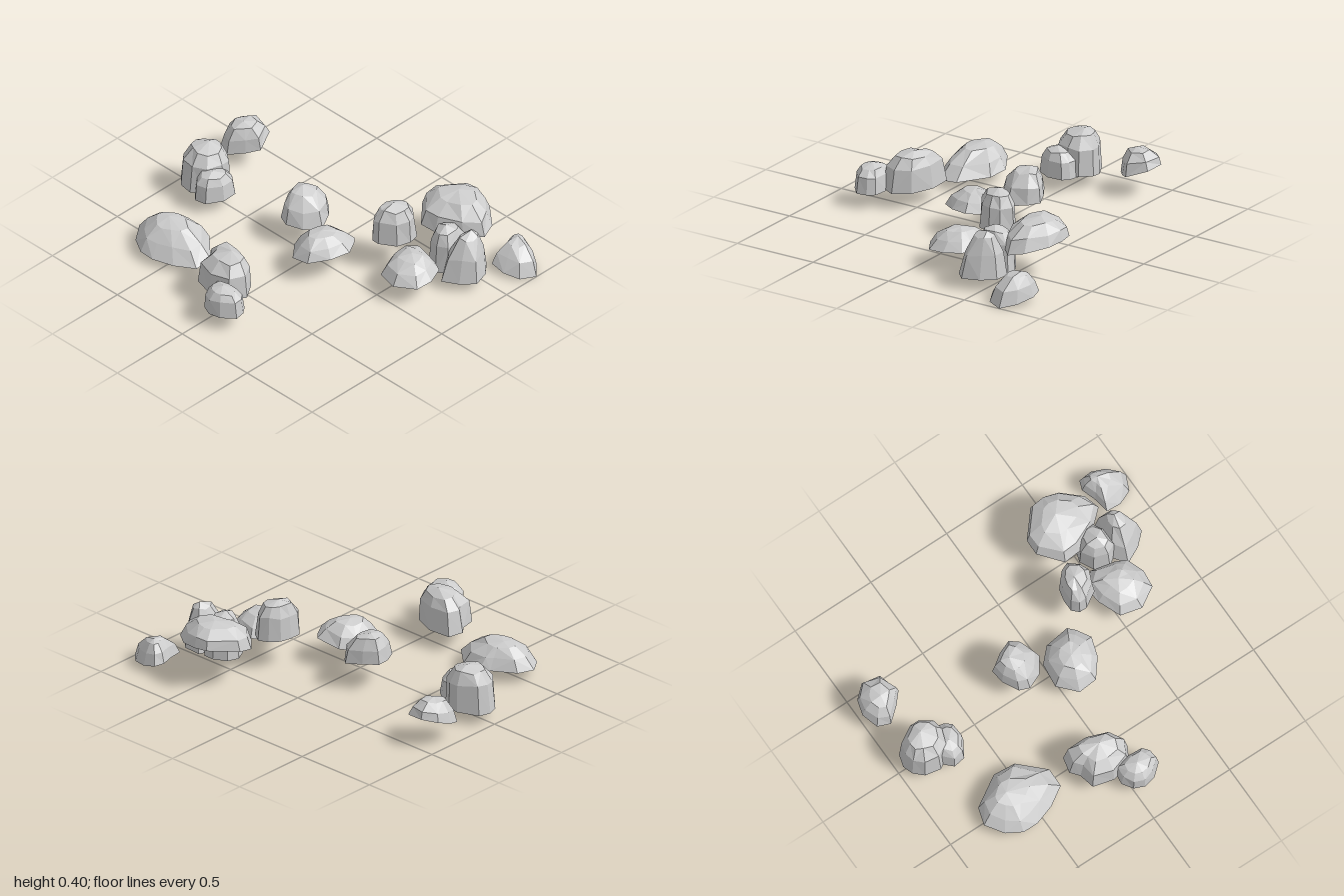
import * as THREE from 'three';

const stone = new THREE.MeshStandardMaterial({ color: 0xcccccc, flatShading: true, side: THREE.DoubleSide });
stone.name = 'grey stone';

// Ring profiles from base to shoulder: [height fraction, outline scale]
const TALL = [[0, 1], [0.62, 0.9], [0.88, 0.6]];
const LOW = [[0, 1], [0.5, 0.87], [0.87, 0.52]];
const SLOPED = [[0, 1], [0.5, 0.77], [0.88, 0.42]];

function seeded(seed) {
  let s = seed * 7919 + 17;
  return () => {
    s = (s * 16807) % 2147483647;
    return s / 2147483647 - 0.5;
  };
}

// Open-bottomed boulder: ground outline [x, z, ...], apex [x, y, z],
// base plane [height at the middle, slope in x, slope in z]
function boulder(seed, profile, outline, apex, [baseY, sx, sz]) {
  const rnd = seeded(seed);
  const n = outline.length / 2;
  const points = [];
  for (let i = 0; i < n; i++) points.push([outline[2 * i], outline[2 * i + 1]]);
  const cx = points.reduce((sum, p) => sum + p[0], 0) / n;
  const cz = points.reduce((sum, p) => sum + p[1], 0) / n;
  const [ax, ay, az] = apex;

  const pos = [];
  profile.forEach(([t, scale], ring) => {
    for (const [x, z] of points) {
      const s = ring ? scale + rnd() * 0.1 : 1;
      const h = ring ? t + rnd() * 0.07 : 0;
      const y = baseY + sx * (x - cx) + sz * (z - cz);
      pos.push(ax + (x - ax) * s, y + (ay - y) * h, az + (z - az) * s);
    }
  });
  pos.push(ax, ay, az);

  const index = [];
  const last = profile.length - 1;
  for (let i = 0; i < n; i++) {
    const j = (i + 1) % n;
    for (let r = 0; r < last; r++) {
      const a = r * n + i, b = r * n + j, c = a + n, d = b + n;
      if ((i + r) % 2) index.push(a, c, b, b, c, d);
      else index.push(a, c, d, a, d, b);
    }
    index.push(last * n + i, profile.length * n, last * n + j);
  }
  const indexed = new THREE.BufferGeometry();
  indexed.setAttribute('position', new THREE.Float32BufferAttribute(pos, 3));
  indexed.setIndex(index);
  const geometry = indexed.toNonIndexed();
  geometry.computeVertexNormals();
  return geometry;
}

export function createModel() {
  const group = new THREE.Group();
  group.name = 'scattered boulders';
  let seed = 1;
  const add = (name, profile, outline, apex, base) => {
    const mesh = new THREE.Mesh(boulder(seed++, profile, outline, apex, base), stone);
    mesh.name = name;
    group.add(mesh);
  };

  // Right side cluster
  add('backRightBoulder', SLOPED,
    [-.53, -.80, -.43, -.77, -.35, -.64, -.32, -.59, -.33, -.46, -.46, -.32, -.57, -.32, -.64, -.43, -.68, -.55, -.68, -.64, -.63, -.73],
    [-.48, .195, -.62], [.055, .07, -.04]);
  add('rightTallBoulder', TALL,
    [-.55, -.25, -.46, -.23, -.455, -.09, -.51, .04, -.60, .10, -.69, .05, -.72, -.07, -.69, -.19, -.60, -.21],
    [-.56, .30, -.06], [.09, 0, -.02]);
  add('rightSmallBoulder', TALL,
    [-.76, -.05, -.69, -.04, -.66, .05, -.67, .15, -.71, .18, -.77, .19, -.83, .12, -.845, .05, -.82, -.01],
    [-.75, .23, .06], [.08, 0, 0]);

  // Back group
  add('backTallBoulder', TALL,
    [0, -.97, .07, -.95, .13, -.84, .13, -.78, .08, -.71, .01, -.69, -.08, -.73, -.13, -.81, -.11, -.90, -.06, -.95],
    [.04, .32, -.83], [.065, 0, .08]);
  add('backSmallBoulder', TALL,
    [-.10, -.80, -.03, -.79, .07, -.73, .06, -.66, .03, -.62, -.06, -.615, -.15, -.67, -.16, -.74],
    [-.06, .23, -.71], [.07, 0, .05]);
  add('backLeftBoulder', LOW,
    [.35, -1, .43, -.98, .49, -.91, .475, -.80, .36, -.755, .30, -.81, .235, -.89, .26, -.965],
    [.35, .26, -.88], [.13, .35, -.05]);

  // Middle pair
  add('middleBackBoulder', LOW,
    [.07, -.27, .15, -.28, .20, -.20, .24, -.11, .19, -.06, .09, -.01, 0, -.07, -.04, -.16, -.02, -.22],
    [.12, .32, -.19], [.15, .04, -.12]);
  add('middleFrontBoulder', SLOPED,
    [-.10, -.035, .04, -.02, .115, .055, .13, .20, .09, .235, .01, .28, -.10, .245, -.20, .165, -.205, .055],
    [-.04, .25, .11], [.14, .04, .15]);

  // Front left cluster
  add('perchedBoulder', TALL,
    [.195, .27, .265, .27, .33, .285, .38, .33, .405, .385, .36, .45, .295, .465, .215, .44, .16, .35, .16, .305],
    [.28, .40, .35], [.18, 0, 0]);
  add('frontLowBoulder', SLOPED,
    [.17, .435, .29, .42, .34, .50, .31, .64, .28, .70, .18, .74, .08, .73, .01, .615, .04, .49],
    [.19, .225, .58], [.12, .06, 0]);
  add('leftWideBoulder', LOW,
    [.56, .29, .65, .29, .79, .41, .80, .49, .78, .59, .69, .70, .60, .73, .52, .64, .45, .50, .44, .40],
    [.65, .36, .48], [.215, .17, -.07]);
  add('frontInnerBoulder', TALL,
    [.44, .495, .51, .515, .55, .585, .55, .65, .48, .68, .37, .68, .33, .62, .365, .535],
    [.43, .30, .60], [.045, .05, 0]);
  add('frontTallBoulder', SLOPED,
    [.365, .65, .465, .635, .565, .68, .565, .78, .495, .845, .395, .875, .33, .805, .285, .71],
    [.48, .32, .75], [.055, .03, .05]);
  add('frontLeftBoulder', SLOPED,
    [.60, .785, .69, .77, .775, .74, .83, .76, .84, .83, .80, .93, .73, 1, .64, .96, .60, .875],
    [.76, .17, .83], [.03, 0, -.21]);

  return group;
}
